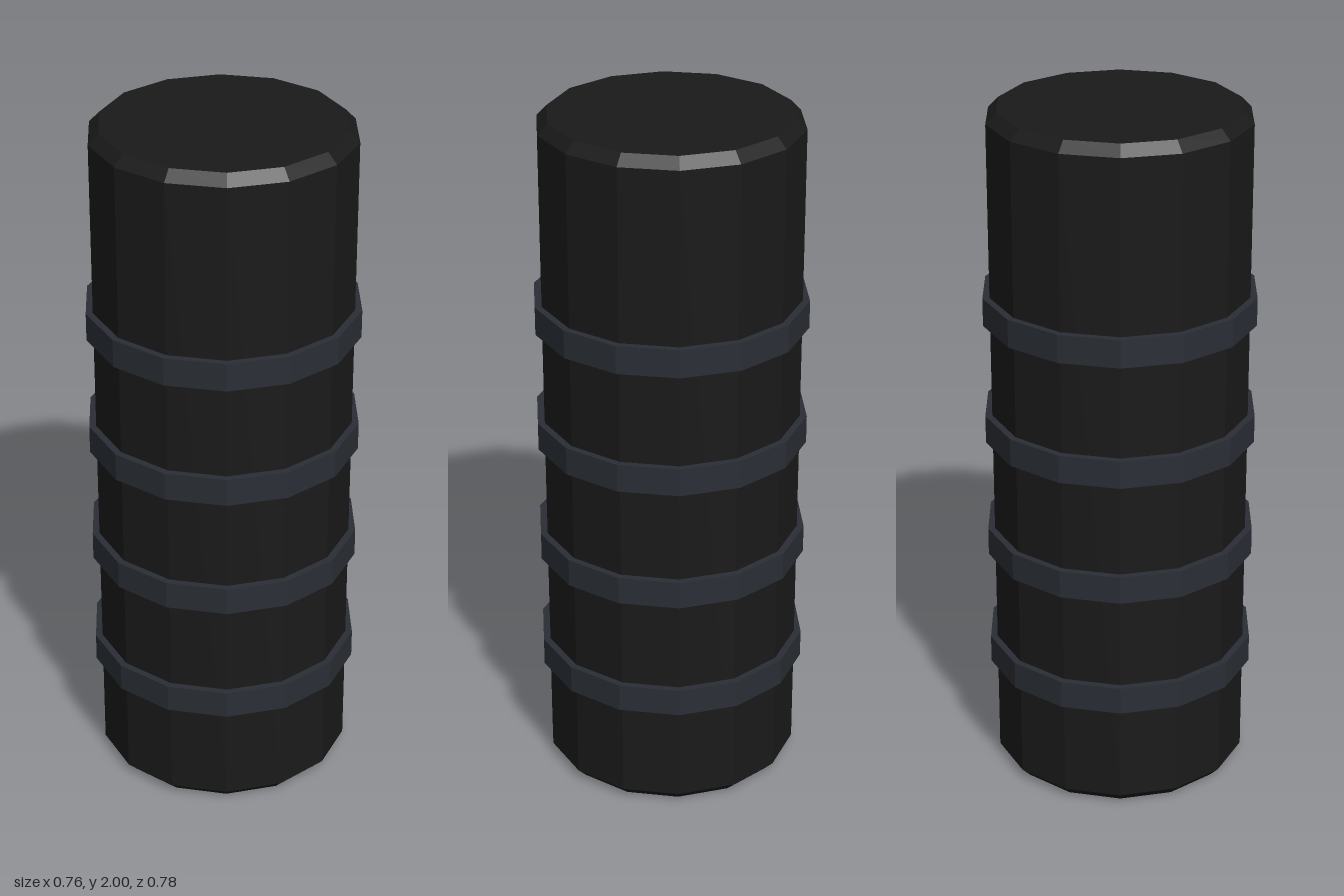
import * as THREE from 'three';

const SIDES = 14;

export function createModel() {
  const group = new THREE.Group();
  const bodyMaterial = new THREE.MeshStandardMaterial({ color: 0x1a1a1a, flatShading: true });
  const ringMaterial = new THREE.MeshStandardMaterial({ color: 0x2a2e35, flatShading: true });

  // Faceted grip body with bevelled ends
  const profile = [[0, 0], [0.342, 0], [0.371, 0.03], [0.371, 1.97], [0.342, 2], [0, 2]]
    .map(([r, y]) => new THREE.Vector2(r, y));
  const body = new THREE.Mesh(new THREE.LatheGeometry(profile, SIDES), bodyMaterial);
  body.name = 'body';
  group.add(body);

  // Four evenly spaced raised bands
  const ringGeometry = new THREE.CylinderGeometry(0.391, 0.391, 0.082, SIDES);
  for (let i = 0; i < 4; i++) {
    const ring = new THREE.Mesh(ringGeometry, ringMaterial);
    ring.name = `band${i + 1}`;
    ring.position.y = 0.36 + i * 0.357;
    group.add(ring);
  }
  return group;
}
